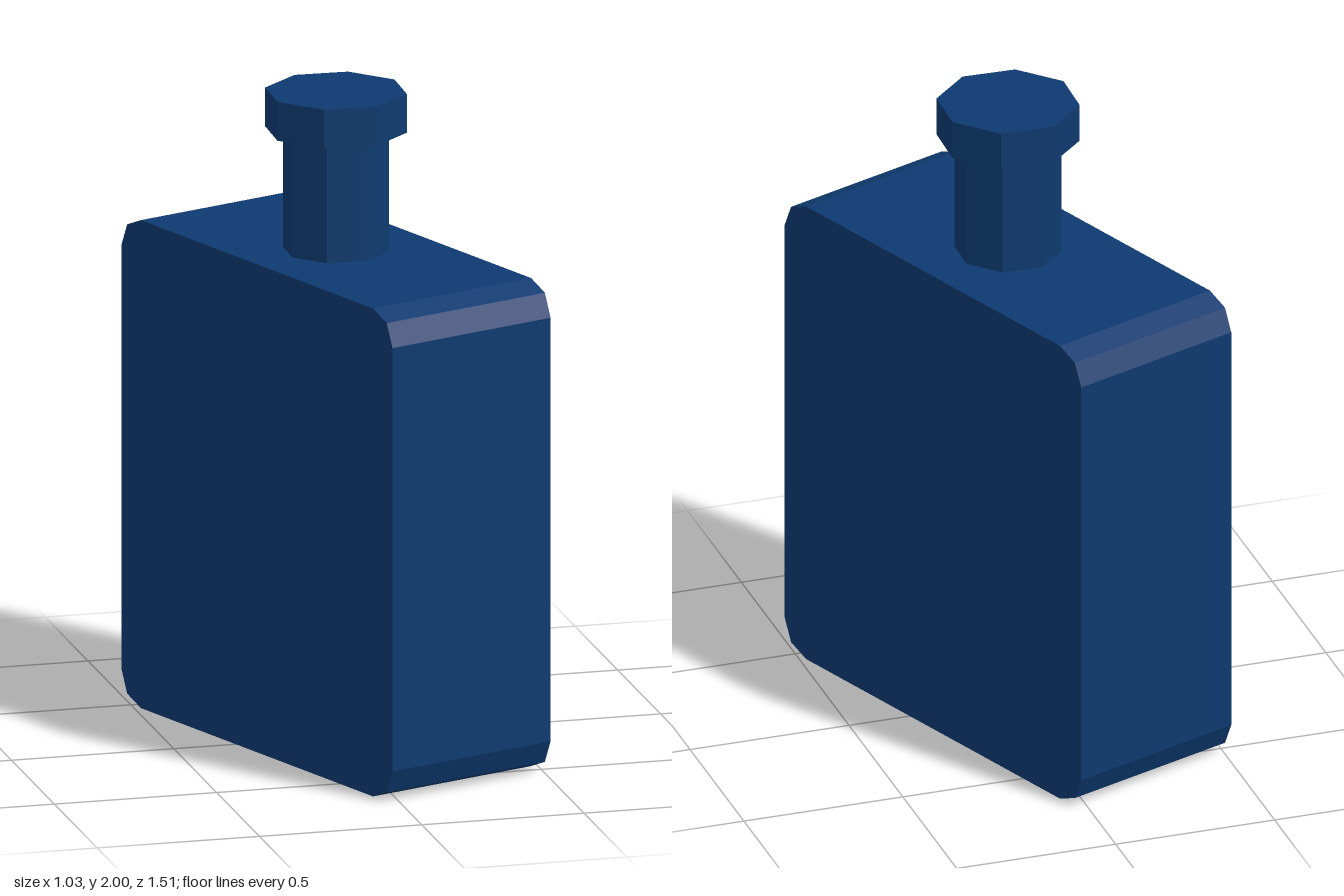
import * as THREE from 'three';

export function createModel() {
  const group = new THREE.Group();
  group.name = 'bottle';
  const navyGlass = new THREE.MeshStandardMaterial({ color: 0x0e3a70 });
  navyGlass.name = 'navy';

  const add = (name, geometry, y = 0) => {
    const flat = geometry.index ? geometry.toNonIndexed() : geometry;
    flat.computeVertexNormals(); // faceted low-poly look
    const mesh = new THREE.Mesh(flat, navyGlass);
    mesh.name = name;
    mesh.position.y = y;
    group.add(mesh);
  };

  // Body: slab with two-step rounded corners, extruded across its thickness
  const halfLength = 0.697, height = 1.51, thickness = 0.578, radius = 0.1;
  const corners = [[1, 0], [1, 1], [-1, 1], [-1, 0]];
  const outline = [];
  corners.forEach(([sx, top], i) => {
    const cx = sx * (halfLength - radius);
    const cy = top ? height - radius : radius;
    for (let k = 0; k <= 2; k++) {
      const a = (i - 1) * Math.PI / 2 + k * Math.PI / 4;
      outline.push(new THREE.Vector2(cx + radius * Math.cos(a), cy + radius * Math.sin(a)));
    }
  });
  const body = new THREE.ExtrudeGeometry(new THREE.Shape(outline), { depth: thickness, bevelEnabled: false });
  body.translate(0, 0, -thickness / 2).rotateY(Math.PI / 2);
  add('body', body);

  // Octagonal neck and stopper
  add('neck', new THREE.CylinderGeometry(0.16, 0.16, 0.37, 8), 1.695);
  add('stopper', new THREE.CylinderGeometry(0.214, 0.214, 0.12, 8), 1.94);

  // The whole bottle stands turned about its vertical axis
  group.rotation.y = THREE.MathUtils.degToRad(20.6);
  return group;
}
